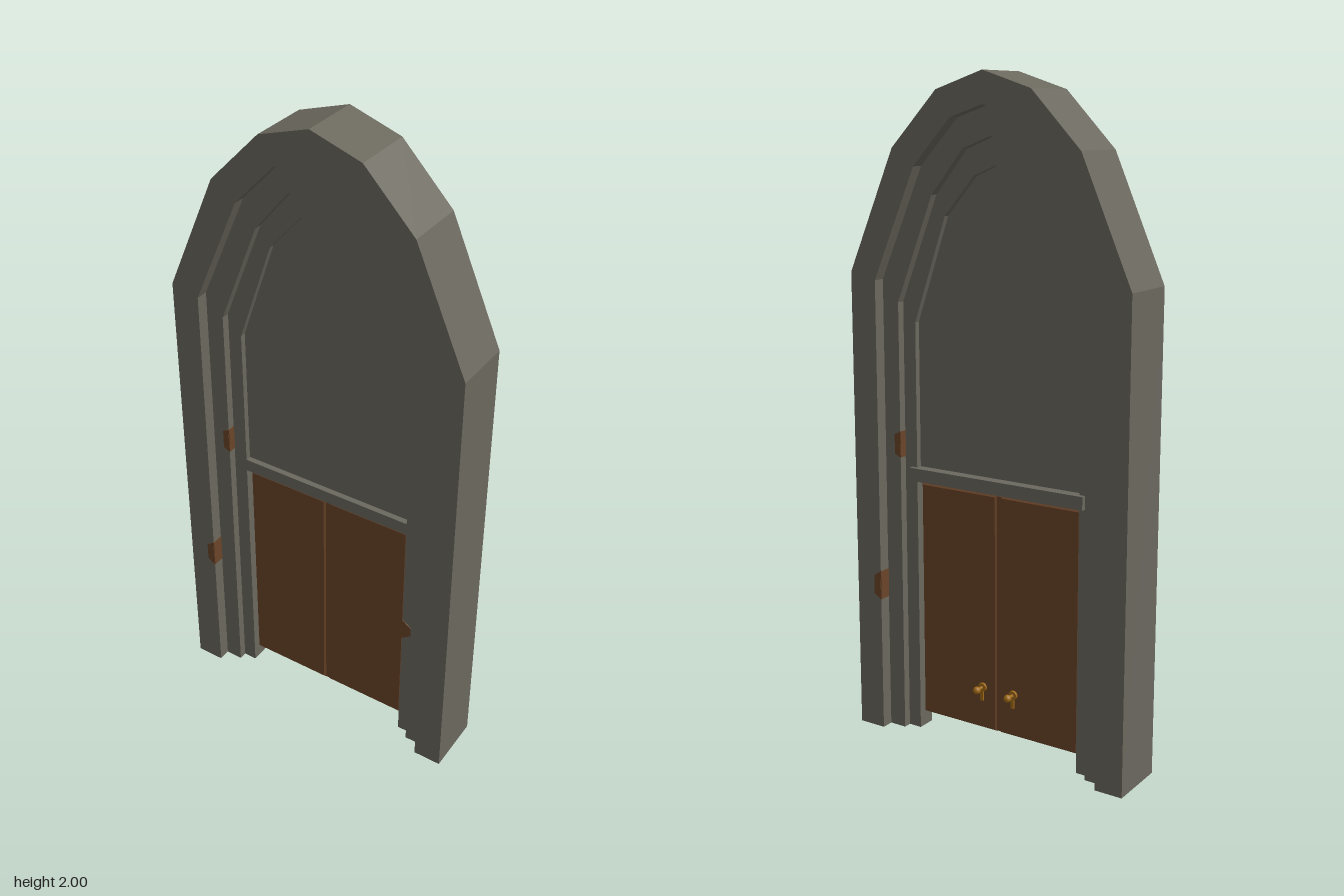
import * as THREE from 'three';

const stone = new THREE.MeshStandardMaterial({ color: 0x6b685e });
stone.name = 'grey stone';
const wood = new THREE.MeshStandardMaterial({ color: 0x6b4529 });
wood.name = 'brown wood';
const brass = new THREE.MeshStandardMaterial({ color: 0xa06a16 });
brass.name = 'brass';

// Right half of each pointed arch, from springing to apex, outermost first
const arches = [
  [[0.468, 1.43], [0.31, 1.79], [0.155, 1.95], [0, 2.0]],
  [[0.38, 1.41], [0.235, 1.74], [0.108, 1.875], [0, 1.91]],
  [[0.325, 1.345], [0.2, 1.66], [0.092, 1.79], [0, 1.825]],
  [[0.282, 1.285], [0.172, 1.6], [0.072, 1.715], [0, 1.745]],
];
const halfDepths = [0.093, 0.055, 0.03]; // one per moulding step

// Whole arch outline, from the right foot over the apex to the left foot
function outline(arch, footY) {
  const right = [[arch[0][0], footY], ...arch];
  const left = right.slice(0, -1).reverse().map(([x, y]) => [-x, y]);
  return [...right, ...left].map(([x, y]) => new THREE.Vector2(x, y));
}

// Extrude a closed outline between two z planes
function slab(name, points, z0, z1, material) {
  const geometry = new THREE.ExtrudeGeometry(new THREE.Shape(points), { depth: z1 - z0, bevelEnabled: false });
  geometry.translate(0, 0, z0);
  const mesh = new THREE.Mesh(geometry, material);
  mesh.name = name;
  return mesh;
}

function box(name, size, pos, material) {
  const mesh = new THREE.Mesh(new THREE.BoxGeometry(...size), material);
  mesh.position.set(...pos);
  mesh.name = name;
  return mesh;
}

// Worn patch wrapped around the inner edge of a moulding step
function patch(edgeX, y, width, height, faceZ, innerZ, tip) {
  const group = new THREE.Group();
  group.name = 'wornPatch';
  const s = Math.sign(edgeX), h = height / 2;
  const pts = [[0, -h], [width, -h * tip], [width, h * tip], [0, h]]
    .map(([x, v]) => new THREE.Vector2(edgeX + s * x, y + v));
  group.add(slab('patchFace', pts, faceZ - 0.002, faceZ + 0.002, wood));
  const depth = faceZ - innerZ;
  group.add(box('patchReturn', [0.004, height, depth], [edgeX, y, faceZ - depth / 2 + 0.001], wood));
  return group;
}

// Knob on a round rose with a small hanging lever, on the back of a door
function handle(x) {
  const group = new THREE.Group();
  group.name = 'doorHandle';
  const rose = new THREE.Mesh(new THREE.CylinderGeometry(0.014, 0.014, 0.008, 10), brass);
  rose.name = 'rose';
  rose.rotation.x = Math.PI / 2;
  const stem = new THREE.Mesh(new THREE.CylinderGeometry(0.005, 0.005, 0.03, 8), brass);
  stem.name = 'stem';
  stem.rotation.x = Math.PI / 2;
  stem.position.z = -0.015;
  const knob = new THREE.Mesh(new THREE.SphereGeometry(0.012, 10, 8), brass);
  knob.name = 'knob';
  knob.position.z = -0.03;
  group.add(rose, stem, knob, box('lowerPlate', [0.01, 0.04, 0.006], [0, -0.022, -0.002], brass));
  group.position.set(x, 0.185, -0.019);
  return group;
}

export function createModel() {
  const model = new THREE.Group();
  model.name = 'archedDoorway';

  // Stepped stone mouldings, thinner towards the opening
  halfDepths.forEach((d, i) => {
    const ring = [...outline(arches[i], 0), ...outline(arches[i + 1], 0).reverse()];
    model.add(slab('archMoulding' + (i + 1), ring, -d, d, stone));
  });

  // Blind panel over the doors, and the lintel that carries it
  model.add(slab('archPanel', outline(arches[3], 0.83), -0.012, 0.012, stone));
  model.add(box('lintel', [0.564, 0.04, 0.06], [0, 0.825, 0], stone));
  model.add(box('lintelBackLedge', [0.6, 0.04, 0.016], [0, 0.825, -0.037], stone));

  // Pair of bevelled door leaves with a cover strip between them
  const b = 0.006;
  for (const s of [-1, 1]) {
    const w = 0.272 - 2 * b, h = 0.745 - 2 * b;
    const leaf = new THREE.Shape([[0, 0], [w, 0], [w, h], [0, h]].map(p => new THREE.Vector2(...p)));
    const geometry = new THREE.ExtrudeGeometry(leaf, {
      depth: 0.018, bevelSize: b, bevelThickness: b, bevelSegments: 1,
    });
    geometry.translate(-w / 2, 0.05 + b, -0.009);
    const door = new THREE.Mesh(geometry, wood);
    door.name = s < 0 ? 'rightDoor' : 'leftDoor';
    door.position.x = s * 0.142;
    model.add(door, handle(s * 0.055));
  }
  model.add(box('coverStrip', [0.014, 0.74, 0.02], [0, 0.422, 0], wood));

  // Worn patches: two repeat on the back, turned half round
  for (const turn of [0, Math.PI]) {
    const pair = new THREE.Group();
    pair.name = turn ? 'backPatches' : 'frontPatches';
    pair.add(patch(-0.325, 0.915, 0.02, 0.08, 0.055, 0.03, 0.75));
    pair.add(patch(-0.38, 0.47, 0.024, 0.09, 0.093, 0.055, 0.65));
    pair.rotation.y = turn;
    model.add(pair);
  }
  model.add(patch(0.282, 0.435, 0.038, 0.075, 0.03, 0.005, 0.25));

  return model;
}
